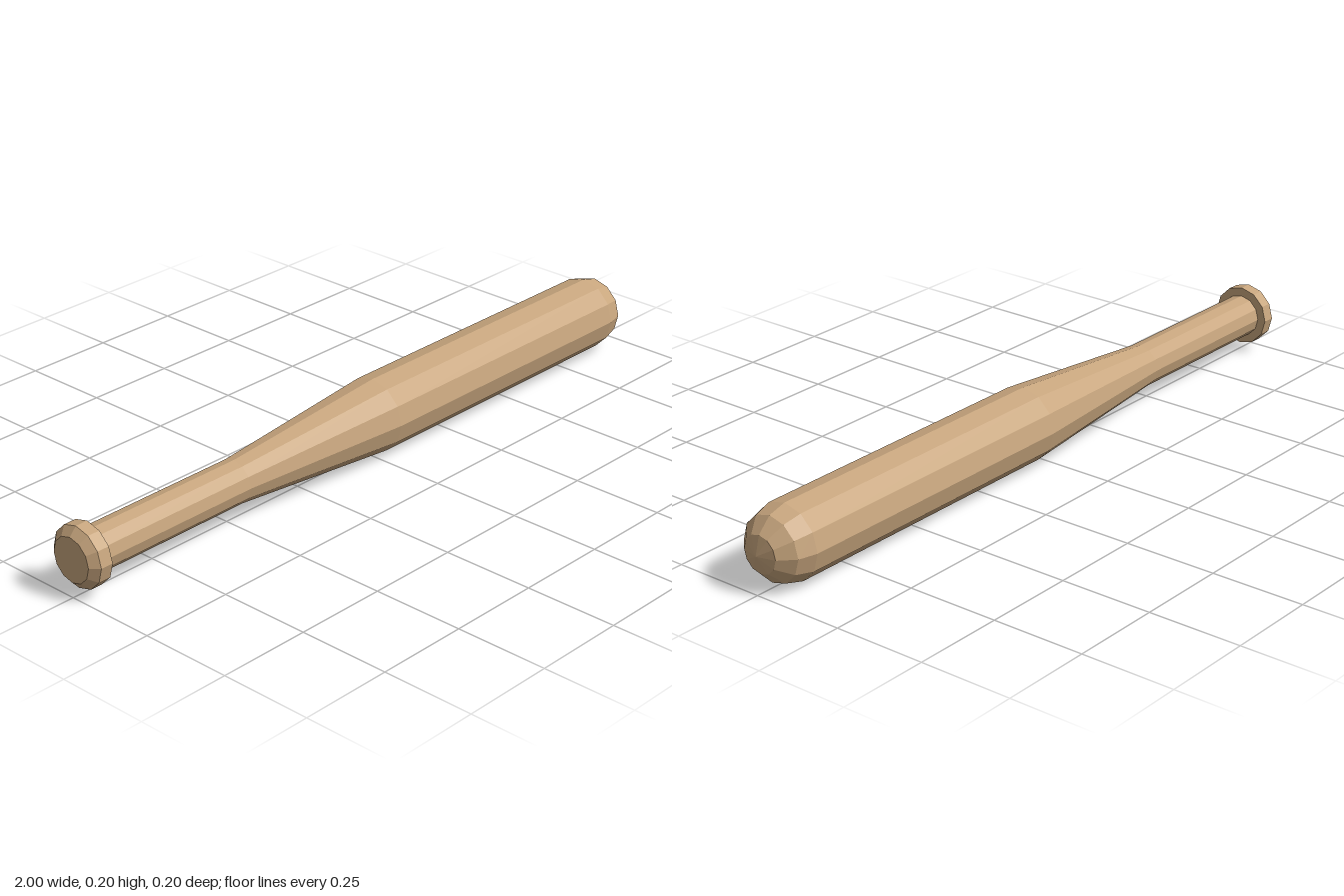
import * as THREE from 'three';

const SIDES = 12;
const AXIS_HEIGHT = 0.1;
const wood = new THREE.MeshStandardMaterial({ color: 0xc8a67e, flatShading: true });

// Turned part lying along x; profile is a list of [x, radius], from -x to +x
function turned(name, profile) {
  const points = profile.map(([x, r]) => new THREE.Vector2(r, x));
  const geometry = new THREE.LatheGeometry(points, SIDES);
  geometry.rotateZ(-Math.PI / 2);
  geometry.translate(0, AXIS_HEIGHT, 0);
  const mesh = new THREE.Mesh(geometry, wood);
  mesh.name = name;
  return mesh;
}

export function createModel() {
  const group = new THREE.Group();
  group.name = 'bat';

  // Rounded tip: quarter circle in three steps
  const tipRadius = 0.1;
  const tip = [];
  for (let i = 0; i <= 3; i++) {
    const a = (i / 3) * Math.PI / 2;
    tip.push([0.9 + tipRadius * Math.sin(a), i === 3 ? 0 : tipRadius * Math.cos(a)]);
  }

  // Handle, taper and barrel
  group.add(turned('handleAndBarrel', [[-0.95, 0.058], [-0.47, 0.058], [0.03, 0.1], ...tip]));

  // Knob with a bevelled end
  group.add(turned('knob', [[-1, 0], [-1, 0.06], [-0.98, 0.082], [-0.945, 0.082], [-0.945, 0]]));

  return group;
}
